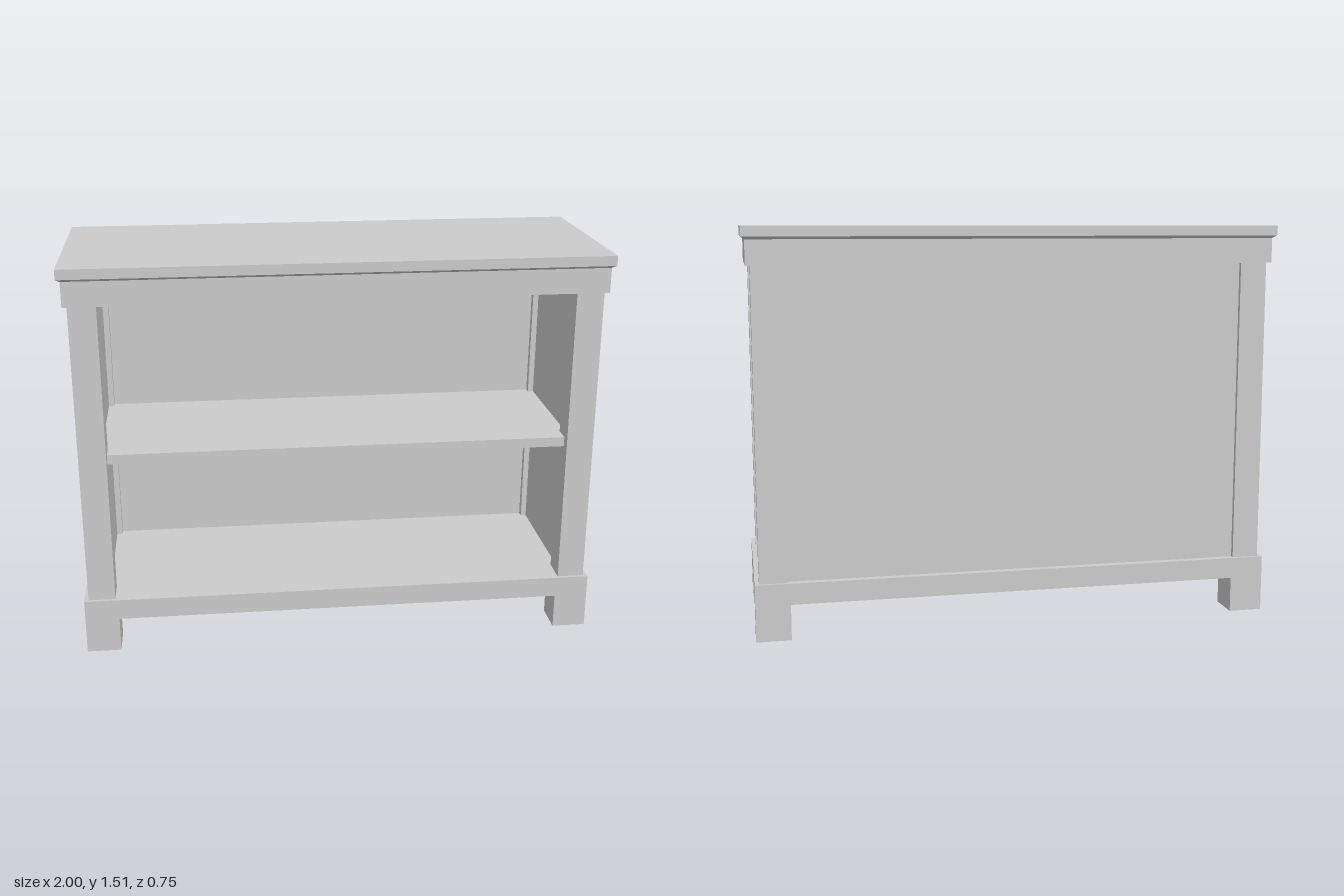
import * as THREE from 'three';

export function createModel() {
  const group = new THREE.Group();
  const material = new THREE.MeshStandardMaterial({ color: 0xcccccc, flatShading: true });

  // Box given by its minimum and maximum on each axis
  function box(name, [x0, x1], [y0, y1], [z0, z1]) {
    const mesh = new THREE.Mesh(new THREE.BoxGeometry(x1 - x0, y1 - y0, z1 - z0), material);
    mesh.position.set((x0 + x1) / 2, (y0 + y1) / 2, (z0 + z1) / 2);
    mesh.name = name;
    group.add(mesh);
    return mesh;
  }
  // Range from a to b, mirrored when s is -1
  const side = (s, a, b) => (s > 0 ? [a, b] : [-b, -a]);

  // Plinth, frieze and top slab
  box('plinth', [-0.986, 0.986], [0.135, 0.215], [-0.358, 0.358]);
  box('frieze', [-0.986, 0.986], [1.37, 1.463], [-0.358, 0.358]);
  box('topSlab', [-1, 1], [1.473, 1.51], [-0.374, 0.374]);

  // Bevel under the top slab: a thin box narrowed at its bottom
  const bevel = box('topBevel', [-1, 1], [1.463, 1.473], [-0.374, 0.374]);
  const p = bevel.geometry.attributes.position;
  for (let i = 0; i < p.count; i++) {
    if (p.getY(i) < 0) {
      p.setX(i, Math.sign(p.getX(i)) * 0.986);
      p.setZ(i, Math.sign(p.getZ(i)) * 0.358);
    }
  }
  bevel.geometry.computeVertexNormals();

  // Feet, corner posts and recessed side panels
  for (const sx of [1, -1]) {
    const lr = sx > 0 ? 'left' : 'right';
    for (const sz of [1, -1]) {
      const fb = sz > 0 ? 'Front' : 'Back';
      box(`${lr}${fb}Foot`, side(sx, 0.857, 0.986), [0, 0.135], side(sz, 0.23, 0.358));
      box(`${lr}${fb}Post`, side(sx, 0.868, 0.97), [0.215, 1.37], side(sz, 0.242, 0.346));
    }
    box(`${lr}SidePanel`, side(sx, 0.89, 0.95), [0.215, 1.37], [-0.242, 0.242]);
  }

  // Back panel and middle shelf
  box('backPanel', [-0.868, 0.868], [0.215, 1.37], [-0.33, -0.268]);
  box('shelf', [-0.868, 0.868], [0.755, 0.792], [-0.268, 0.308]);
  // Shelf ends reaching the side panels between the posts
  for (const sx of [1, -1]) box('shelfEnd', side(sx, 0.868, 0.89), [0.755, 0.792], [-0.242, 0.242]);

  return group;
}
